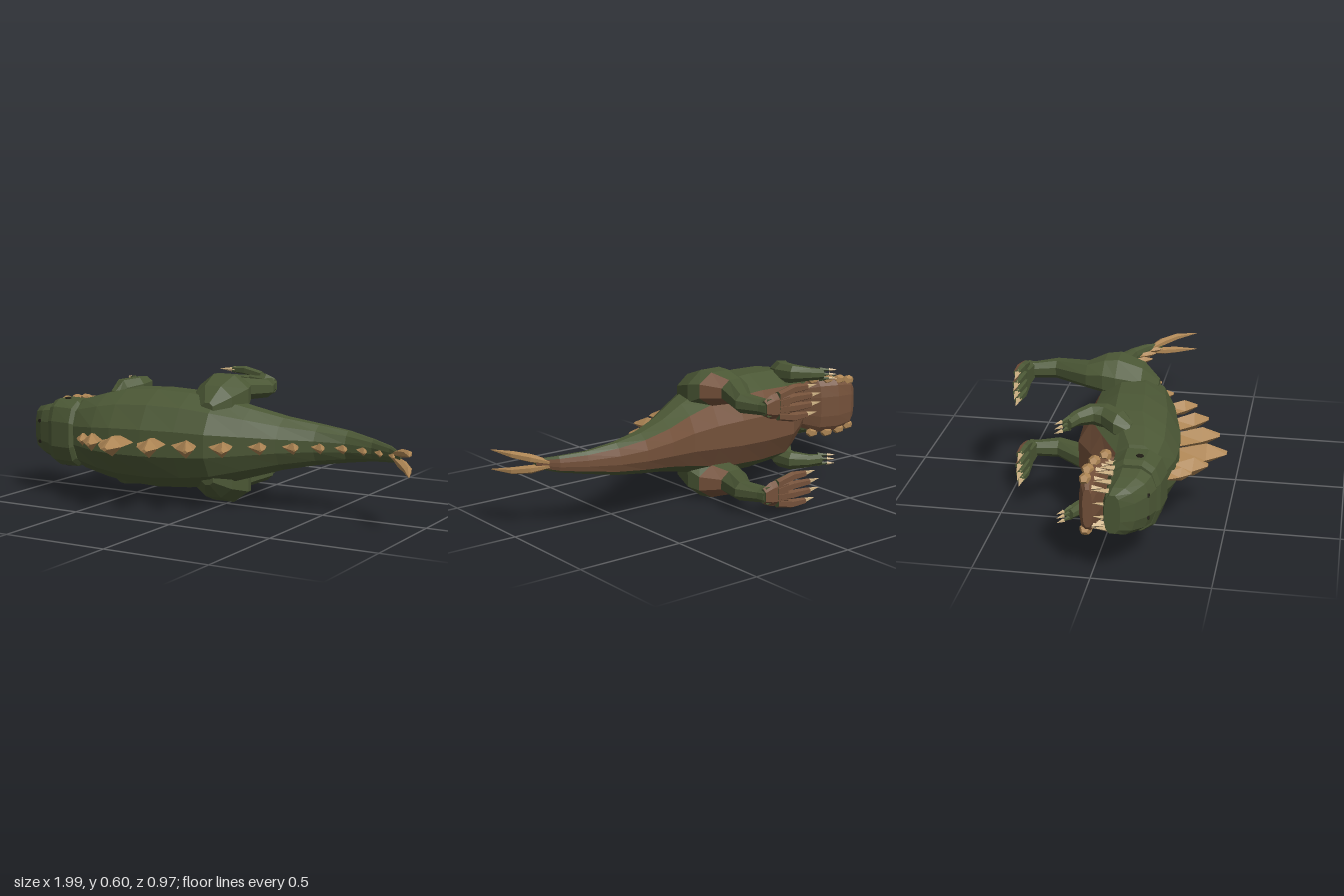
import * as THREE from 'three';

const mat = (name, color) => Object.assign(new THREE.MeshStandardMaterial({ color, flatShading: true, side: THREE.DoubleSide }), { name });

// The animal lies on its side: head to -x, back to +z, width along y about MID.
const MID = 0.3;
const P = (x, w, z) => new THREE.Vector3(x, MID + w, z);
const pow = (v, p) => Math.sign(v) * Math.abs(v) ** p;

// Cross-section across the body at a given x; angle 0 points to the back (+z)
function xRing(x, w, z, hw, hz, n = 12, p = 1) {
  const k = 1 / Math.cos(Math.PI / n);
  return Array.from({ length: n }, (_, j) => {
    const a = (j + 0.5) / n * Math.PI * 2;
    return P(x, w + hw * Math.min(1, Math.max(-1, k * pow(Math.sin(a), p))), z + hz * Math.min(1, Math.max(-1, k * pow(Math.cos(a), p))));
  });
}

// Cross-section of an upright limb at a given z; angle 0 points to the tail (+x)
function zRing(z, x, w, hx, hw, n = 8) {
  const k = 1 / Math.cos(Math.PI / n);
  return Array.from({ length: n }, (_, j) => {
    const a = (j + 0.5) / n * Math.PI * 2;
    return P(x + hx * k * Math.cos(a), w + hw * k * Math.sin(a), z);
  });
}

// Rings around a path of [x, w, z, radius], flattened across the width by flat
function pathRings(pts, n = 6, flat = 1) {
  return pts.map(([x, w, z, r], i) => {
    const a = pts[Math.max(0, i - 1)], b = pts[Math.min(pts.length - 1, i + 1)];
    const l = Math.hypot(b[0] - a[0], b[2] - a[2]) || 1;
    const tx = (b[0] - a[0]) / l, tz = (b[2] - a[2]) / l;
    return Array.from({ length: n }, (_, j) => {
      const q = (j + 0.5) / n * Math.PI * 2, u = r * Math.cos(q);
      return P(x + tz * u, w + r * flat * Math.sin(q), z - tx * u);
    });
  });
}

// Skin a list of rings, close both ends; pick(segment, angle) chooses the material
function loft(name, rings, mats, pick = () => 0) {
  const tris = mats.map(() => []), n = rings[0].length;
  for (let i = 0; i < rings.length - 1; i++) {
    for (let j = 0; j < n; j++) {
      const k = (j + 1) % n, A = rings[i], B = rings[i + 1];
      tris[pick(i, (j + 1) / n * Math.PI * 2)].push([A[j], A[k], B[j]], [A[k], B[k], B[j]]);
    }
  }
  const last = rings[rings.length - 1];
  for (let j = 1; j < n - 1; j++) {
    tris[0].push([rings[0][0], rings[0][j + 1], rings[0][j]], [last[0], last[j], last[j + 1]]);
  }
  const origin = rings[0][0], s = () => new THREE.Vector3();
  let volume = 0;
  tris.flat().forEach(([a, b, c]) => {
    volume += s().subVectors(a, origin).dot(s().subVectors(b, origin).cross(s().subVectors(c, origin)));
  });
  const geo = new THREE.BufferGeometry(), pos = [];
  tris.forEach((list, m) => {
    geo.addGroup(pos.length / 3, list.length * 3, m);
    list.forEach(([a, b, c]) => (volume < 0 ? [a, c, b] : [a, b, c]).forEach(v => pos.push(v.x, v.y, v.z)));
  });
  geo.setAttribute('position', new THREE.Float32BufferAttribute(pos, 3));
  geo.computeVertexNormals();
  const mesh = new THREE.Mesh(geo, mats);
  mesh.name = name;
  return mesh;
}

// Cone from a to b
function spike(name, a, b, r, material, n = 5) {
  const dir = new THREE.Vector3().subVectors(b, a);
  const mesh = new THREE.Mesh(new THREE.ConeGeometry(r, dir.length(), n), material);
  mesh.position.copy(a).addScaledVector(dir, 0.5);
  mesh.quaternion.setFromUnitVectors(new THREE.Vector3(0, 1, 0), dir.normalize());
  mesh.name = name;
  return mesh;
}

export function createModel() {
  const model = new THREE.Group();
  model.name = 'dinosaur';
  const green = mat('hide green', 0x4b5735), brown = mat('belly brown', 0x74513a);
  const tan = mat('spine tan', 0xad8554), ivory = mat('claw ivory', 0xcdb183), dark = mat('eye dark', 0x1f1c14);
  const add = (...m) => model.add(...m);
  const under = (i, a) => (Math.cos(a) < -0.8 ? 1 : 0);

  // Body and tail: x, half width, belly z, back z
  const body = [
    [-0.74, 0.13, 0.06, 0.24], [-0.68, 0.165, 0.02, 0.26], [-0.56, 0.2, -0.08, 0.29], [-0.46, 0.222, -0.15, 0.292],
    [-0.3, 0.23, -0.16, 0.275], [-0.14, 0.222, -0.16, 0.24], [0, 0.2, -0.15, 0.21], [0.14, 0.16, -0.15, 0.125],
    [0.28, 0.12, -0.175, 0.04], [0.43, 0.092, -0.19, -0.04], [0.566, 0.072, -0.175, -0.083], [0.7, 0.05, -0.128, -0.075],
    [0.806, 0.036, -0.07, -0.03], [0.88, 0.02, 0.005, 0.025],
  ];
  add(loft('body', body.map(([x, hw, b, t]) => xRing(x, 0, (b + t) / 2, hw, (t - b) / 2)), [green, brown], under));
  const backZ = x => {
    const i = Math.max(1, body.findIndex(s => s[0] >= x)), a = body[i - 1], b = body[i];
    return a[3] + (b[3] - a[3]) * (x - a[0]) / (b[0] - a[0]);
  };

  // Back spines: base x, half length, tip x, tip z, half width
  [
    [-0.62, 0.04, -0.575, 0.36, 0.03], [-0.56, 0.06, -0.485, 0.42, 0.042], [-0.42, 0.085, -0.35, 0.487, 0.047],
    [-0.25, 0.07, -0.17, 0.437, 0.045], [-0.1, 0.062, 0.0, 0.367, 0.042], [0.06, 0.05, 0.145, 0.297, 0.036],
    [0.2, 0.04, 0.27, 0.168, 0.03], [0.33, 0.036, 0.4, 0.092, 0.027], [0.44, 0.032, 0.505, 0.032, 0.024],
    [0.54, 0.03, 0.6, -0.005, 0.021], [0.64, 0.028, 0.7, 0, 0.018], [0.73, 0.025, 0.78, 0.005, 0.016], [0.81, 0.022, 0.85, 0.03, 0.014],
  ].forEach(([bx, hl, tx, tz, hw]) => {
    const z0 = backZ(bx) - 0.015;
    const rings = [[0, 1, 0.6], [0.6, 0.75, 1], [1, 0.22, 0.2]].map(([t, l, w]) => {
      const x = bx + (tx - bx) * t, z = z0 + (tz - z0) * t, slope = (backZ(bx + 0.02) - backZ(bx - 0.02)) / 0.04 * (1 - t);
      return [[-1, 0], [0.2, 1], [1, 0], [0.2, -1]].map(([u, v]) => P(x + u * hl * l, v * hw * w, z + u * hl * l * slope));
    });
    add(loft('backSpine', rings, [tan]));
  });

  // Head: cranium with a wider back block, and lower jaw
  const headRing = ([x, hw, b, t]) => xRing(x, 0, (b + t) / 2, hw, (t - b) / 2, 12, 0.75);
  add(loft('cranium', [[-1, 0.085, 0.06, 0.125], [-0.965, 0.105, 0.05, 0.18], [-0.9, 0.122, 0.05, 0.228], [-0.835, 0.135, 0.045, 0.25]].map(headRing), [green]));
  add(loft('headBack', [[-0.84, 0.148, 0.05, 0.248], [-0.81, 0.16, 0.04, 0.262], [-0.7, 0.158, 0.03, 0.275], [-0.685, 0.14, 0.05, 0.26]].map(headRing), [green]));
  add(loft('lowerJaw', [[-0.965, 0.085, -0.035, 0.005], [-0.93, 0.118, -0.055, 0.012], [-0.84, 0.13, -0.06, 0.025], [-0.75, 0.13, -0.03, 0.06], [-0.69, 0.11, 0.03, 0.12]].map(headRing), [brown]));

  for (const s of [1, -1]) {
    const side = s > 0 ? 'upper' : 'lower';
    // Jaw scales, teeth, eye and nostril
    [[-0.925, 0.115, -0.03], [-0.865, 0.127, -0.03], [-0.8, 0.135, -0.015], [-0.735, 0.135, 0.02]].forEach(([x, w, z]) => {
      const scale = new THREE.Mesh(new THREE.DodecahedronGeometry(0.03), tan);
      scale.position.copy(P(x, s * w, z));
      scale.scale.set(1.1, 0.8, 0.9);
      scale.name = 'jawScale';
      add(scale);
    });
    for (let i = 0; i < 5; i++) {
      const x = -0.965 + i * 0.047, w = s * (0.085 + 0.035 * Math.min(1, i / 2));
      add(spike('upperTooth', P(x, w, 0.075), P(x, w, 0.0), 0.014, ivory, 4));
      add(spike('lowerTooth', P(x + 0.024, w, 0), P(x + 0.024, w, 0.055), 0.012, ivory, 4));
    }
    add(spike('frontTooth', P(-0.975, s * 0.03, 0.07), P(-0.97, s * 0.03, 0.005), 0.013, ivory, 4));
    const eye = new THREE.Mesh(new THREE.CylinderGeometry(0.016, 0.016, 0.008, 6), dark);
    eye.position.copy(P(-0.775, s * 0.16, 0.17));
    eye.name = 'eye';
    const nostril = new THREE.Mesh(new THREE.CylinderGeometry(0.009, 0.009, 0.008, 5), dark);
    nostril.position.copy(P(-0.905, s * 0.05, 0.226));
    nostril.rotation.x = Math.PI / 2;
    nostril.name = 'nostril';
    add(eye, nostril);

    // Hind leg: z, x, half length, width offset, half width
    const leg = [
      [0.14, -0.02, 0.03, 0.165, 0.025], [0.07, -0.03, 0.1, 0.18, 0.08], [-0.04, -0.035, 0.13, 0.2, 0.1], [-0.1, -0.045, 0.12, 0.218, 0.078],
      [-0.18, -0.065, 0.075, 0.215, 0.055], [-0.34, 0.015, 0.048, 0.2025, 0.042], [-0.44, -0.015, 0.034, 0.2, 0.035], [-0.475, -0.025, 0.034, 0.2, 0.04],
    ].map(([z, x, hx, w, hw]) => zRing(z, x, s * w, hx, hw));
    add(loft(side + 'HindLeg', leg, [green, brown], (i, a) => (i === 3 && Math.cos(a) > 0.6 ? 1 : 0)));
    // Foot with brown sole, toes and claws
    const sole = (i, a) => (Math.cos(a) < -0.3 ? 1 : 0);
    add(loft(side + 'Foot', [[0.005, 0.035, 0.02], [-0.04, 0.055, 0.024], [-0.13, 0.068, 0.02]].map(([x, hw, hz]) => xRing(x, s * 0.2, -0.485 + hz, hw, hz, 6)), [green, brown], sole));
    [0.137, 0.18, 0.222, 0.265].forEach((w, i) => {
      const w0 = 0.2 + (w - 0.2) * 0.7, tip = -0.235 - (i === 1 || i === 2 ? 0.025 : 0);
      add(loft('toe', [[-0.07, w0, 0.02, 0.018], [-0.16, w, 0.021, 0.018], [tip, w, 0.015, 0.013]].map(([x, ww, hw, hz]) => xRing(x, s * ww, -0.487 + hz, hw, hz, 6)), [green, brown], sole));
      add(spike('toeClaw', P(tip + 0.015, s * w, -0.472), P(tip - 0.075, s * w, -0.465), 0.015, ivory));
    });

    // Arm and fingers
    const arm = [
      [-0.56, 0.17, 0.1, 0.035], [-0.55, 0.195, 0.05, 0.06], [-0.505, 0.21, -0.02, 0.052],
      [-0.51, 0.215, -0.085, 0.045], [-0.57, 0.215, -0.14, 0.032], [-0.625, 0.212, -0.165, 0.026],
    ];
    add(loft(side + 'Arm', pathRings(arm.map(([x, w, z, r]) => [x, s * w, z, r]), 8), [green]));
    [0.19, 0.21, 0.232].forEach(w => {
      const a = P(-0.61, s * w, -0.158), b = P(-0.65, s * w, -0.182);
      add(spike('finger', a, P(-0.668, s * w, -0.193), 0.014, green), spike('fingerClaw', b, P(-0.682, s * w, -0.208), 0.009, ivory));
    });

    // Forked tail blade
    const blade = [[0.83, 0.008, -0.03, 0.012], [0.89, 0.024, 0.025, 0.024], [0.945, 0.036, 0.09, 0.02], [0.993, 0.044, 0.19, 0.002]];
    add(loft(side + 'TailBlade', pathRings(blade.map(([x, w, z, r]) => [x, s * w, z, r]), 6, 0.8), [tan]));
  }
  return model;
}
